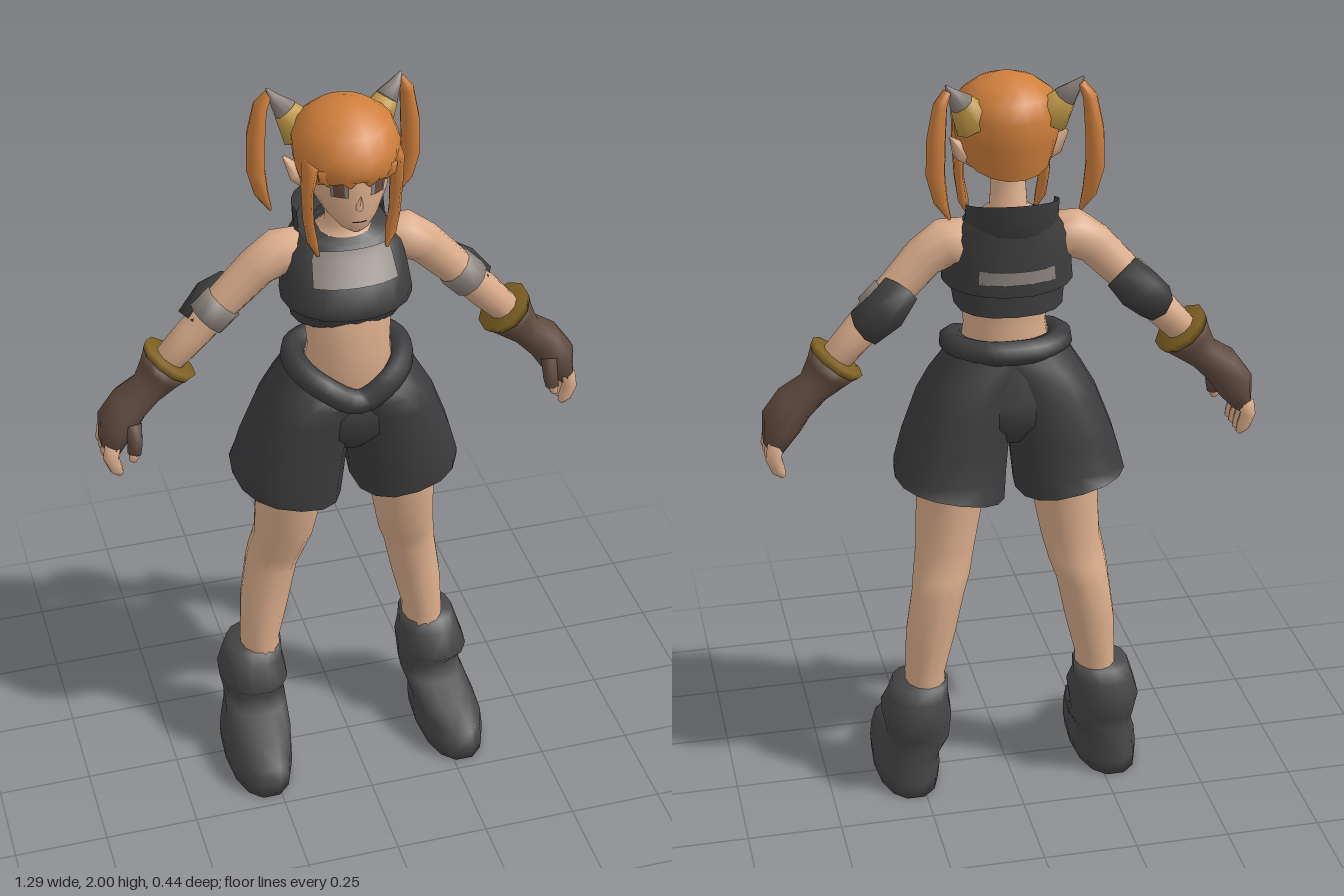
import * as THREE from 'three';

const mat = (name, color) => {
  const m = new THREE.MeshStandardMaterial({ color, side: THREE.DoubleSide });
  m.name = name;
  return m;
};

// Ellipse (p = 1) or boxier ring (p < 1) that fills the extents x0..x1, z0..z1.
// y may be a number or a rule of (x, z); a0..a1 gives an open arc.
function ring([x0, x1, y, z0, z1], p = 1, n = 14, a0 = 0, a1 = 0) {
  const open = a1 > a0, pts = [];
  const pw = v => Math.sign(v) * Math.pow(Math.abs(v), p);
  for (let j = 0; j < n; j++) {
    const a = open ? a0 + (a1 - a0) * j / (n - 1) : j / n * Math.PI * 2;
    const x = (x0 + x1) / 2 + (x1 - x0) / 2 * pw(Math.cos(a));
    const z = (z0 + z1) / 2 + (z1 - z0) / 2 * pw(Math.sin(a));
    pts.push(new THREE.Vector3(x, typeof y === 'function' ? y(x, z) : y, z));
  }
  return pts;
}

// Skin a row of rings, with optional end caps
function loft(rings, { start = false, end = false, open = false } = {}) {
  const n = rings[0].length, pos = [], idx = [];
  rings.forEach(r => r.forEach(v => pos.push(v.x, v.y, v.z)));
  for (let i = 0; i < rings.length - 1; i++)
    for (let j = 0; j < (open ? n - 1 : n); j++) {
      const k = (j + 1) % n, a = i * n + j, b = i * n + k, c = a + n, d = b + n;
      idx.push(a, c, b, b, c, d);
    }
  const cap = (i, flip) => {
    const c = rings[i].reduce((s, v) => s.add(v), new THREE.Vector3()).divideScalar(n);
    const m = pos.length / 3;
    pos.push(c.x, c.y, c.z);
    for (let j = 0; j < n; j++) {
      const a = i * n + j, b = i * n + (j + 1) % n;
      flip ? idx.push(m, b, a) : idx.push(m, a, b);
    }
  };
  if (start) cap(0, false);
  if (end) cap(rings.length - 1, true);
  const g = new THREE.BufferGeometry();
  g.setAttribute('position', new THREE.Float32BufferAttribute(pos, 3));
  g.setIndex(idx);
  g.computeVertexNormals();
  return g;
}

const stack = (rows, caps, p, n) => loft(rows.map(r => ring(r, p, n)), caps);
const patch = (rows, a0, a1, n = 8) => loft(rows.map(r => ring(r, 1, n, a0, a1)), { open: true });

// Sweep along points [x, y, z, radius along z, radius across]
function sweep(path, n = 10, start = true, end = true) {
  const c = path.map(p => new THREE.Vector3(p[0], p[1], p[2]));
  return loft(path.map((p, i) => {
    const t = c[Math.min(i + 1, c.length - 1)].clone().sub(c[Math.max(i - 1, 0)]).normalize();
    const v = new THREE.Vector3(0, 0, 1).cross(t).normalize();
    const u = t.clone().cross(v);
    return Array.from({ length: n }, (_, j) => {
      const a = j / n * Math.PI * 2;
      return c[i].clone().addScaledVector(u, p[3] * Math.cos(a)).addScaledVector(v, p[4] * Math.sin(a));
    });
  }), { start, end });
}

function mirrored(geo) {
  const g = geo.clone().scale(-1, 1, 1), ix = g.index.array;
  for (let i = 0; i < ix.length; i += 3) [ix[i], ix[i + 1]] = [ix[i + 1], ix[i]];
  return g;
}

export function createModel() {
  const model = new THREE.Group();
  const skin = mat('skin', 0xdcae8c), hair = mat('orange hair', 0xcf7f3c);
  const vest = mat('vest charcoal', 0x3e3d3e), shorts = mat('shorts charcoal', 0x3c3c3e);
  const boots = mat('boot grey', 0x484848), glove = mat('glove brown', 0x604b40);
  const gold = mat('cuff gold', 0x7d6022), yellow = mat('ear yellow', 0xc49c48);
  const grey = mat('mesh grey', 0x8c847e), dark = mat('eye brown', 0x6a4a3e);

  const add = (name, geo, m) => {
    const mesh = new THREE.Mesh(geo, m);
    mesh.name = name;
    model.add(mesh);
  };
  const pair = (name, geo, m) => {
    add(name + 'Left', geo, m);
    add(name + 'Right', mirrored(geo), m);
  };
  const both = (w, y, z0, z1) => [-w, w, y, z0, z1];

  // Legs and boots
  pair('leg', stack([
    [.18, .29, .28, -.14, 0], [.18, .29, .36, -.14, 0], [.15, .285, .48, -.15, 0],
    [.125, .268, .6, -.155, .003], [.107, .262, .65, -.145, .015], [.09, .25, .72, -.127, .045],
    [.06, .243, .88, -.14, .085], [.04, .235, 1.06, -.14, .09]
  ], {}, 1, 12), skin);
  pair('boot', stack([
    [.195, .365, 0, -.16, .22], [.19, .367, .04, -.16, .225], [.19, .362, .09, -.157, .215],
    [.18, .35, .125, -.157, .15], [.172, .343, .15, -.157, .05], [.172, .343, .175, -.16, .005],
    [.166, .355, .235, -.185, .058], [.175, .338, .29, -.165, .01], [.175, .325, .33, -.155, 0]
  ], { start: true, end: true }, .85, 14), boots);

  // Shorts with a slanted waist and hem
  const waist = (x, z) => 1.225 + .35 * Math.abs(x) - .35 * z;
  const hem = (x, z) => .862 + .22 * Math.max(x - .02, 0) - .09 * Math.min(z, 0);
  pair('shortsLeg', stack([
    [.018, .302, hem, -.22, .122], [.01, .3, .95, -.2, .125], [.002, .277, 1.03, -.19, .125],
    [-.02, .235, 1.14, -.17, .122], [-.05, .2, (x, z) => 1.2 - .1 * z, -.15, .12],
    [-.13, .15, waist, -.125, .105]
  ], {}, .85, 16), shorts);
  add('shortsSeat', stack([
    both(.05, 1.03, -.12, .07), both(.14, 1.09, -.165, .116), both(.17, 1.15, -.165, .12),
    both(.14, waist, -.125, .103)
  ], { start: true }, .9, 16), shorts);
  const half = [[.085, 1.245, .095], [.135, 1.275, .03], [.13, 1.285, -.06], [.07, 1.285, -.11]];
  const loop = [[0, 1.2, .105], ...half, [0, 1.285, -.12], ...half.slice().reverse().map(([x, y, z]) => [-x, y, z])];
  add('waistband', new THREE.TubeGeometry(
    new THREE.CatmullRomCurve3(loop.map(p => new THREE.Vector3(...p)), true), 36, .033, 7, true), shorts);

  // Body and neck
  add('torso', stack([
    both(.11, 1.12, -.1, .07), both(.122, 1.24, -.1, .094), both(.108, 1.33, -.09, .1), both(.115, 1.42, -.1, .09),
    both(.125, 1.52, -.12, .07), both(.12, 1.59, -.12, .047), both(.085, 1.635, -.11, .02),
    both(.048, 1.66, -.095, .005), both(.043, 1.76, -.085, .015)
  ], {}, 1, 14), skin);

  // Cropped vest with an under-tier, chest panel and standing collar
  add('vestHem', stack([
    both(.14, (x, z) => 1.405 + .08 * z, -.15, .078), both(.145, 1.44, -.15, .1), both(.145, 1.49, -.15, .1)
  ], {}, .85, 16), vest);
  const chest = [
    both(.168, (x, z) => 1.452 + .06 * Math.abs(x), -.168, .122), both(.166, 1.485, -.172, .132), both(.16, 1.54, -.168, .098),
    both(.15, 1.595, -.165, .055), both(.115, (x, z) => 1.625 - .22 * z, -.16, .032)
  ];
  add('vest', stack(chest, {}, .88, 18), vest);
  add('vestTop', stack([chest[4], both(.07, (x, z) => 1.64 - .2 * z, -.12, .02)], {}, .88, 18), vest);
  add('chestPanel', loft([
    both(.163, 1.538, -.17, .104), both(.153, 1.597, -.167, .06), both(.14, 1.617, -.16, .049)
  ].map(r => ring(r, .88, 9, Math.PI * .28, Math.PI * .72)), { open: true }), grey);
  add('backPanel', patch([both(.166, 1.49, -.176, .1), both(.163, 1.525, -.175, .09)], Math.PI * 1.3, Math.PI * 1.7), grey);
  add('collar', patch([
    both(.12, 1.61, -.165, .02), both(.118, 1.65, -.18, .01),
    both(.118, (x, z) => 1.665 - .2 * z, -.183, -.005)
  ], Math.PI * .9, Math.PI * 2.1, 14), vest);

  // Arms with elbow pads
  pair('arm', sweep([
    [.11, 1.575, -.06, .055, .06], [.165, 1.575, -.06, .06, .062], [.22, 1.54, -.06, .05, .054],
    [.33, 1.425, -.07, .043, .047], [.39, 1.36, -.075, .045, .046], [.46, 1.285, -.078, .04, .04]
  ]), skin);
  pair('elbowBand', sweep([[.305, 1.45, -.068, .052, .054], [.35, 1.405, -.07, .052, .054]], 10), grey);
  pair('elbowPad', sweep([
    [.285, 1.468, -.085, .058, .05], [.325, 1.428, -.11, .062, .058], [.375, 1.38, -.09, .06, .053]
  ], 8), vest);

  // Gloves with golden cuffs, fingers and thumbs
  pair('glove', sweep([
    [.45, 1.292, -.078, .076, .075], [.475, 1.26, -.078, .064, .06], [.51, 1.22, -.077, .054, .044],
    [.56, 1.18, -.076, .062, .052], [.595, 1.13, -.075, .07, .053], [.617, 1.07, -.075, .066, .028]
  ]), glove);
  pair('cuff', sweep([[.445, 1.298, -.078, .079, .078], [.458, 1.282, -.078, .075, .072]]), gold);
  for (const z of [-.126, -.092, -.058, -.024])
    pair('finger', sweep([
      [.617, 1.09, z, .018, .022], [.624, 1.055, z, .019, .021], [.612, 1.02, z, .017, .018], [.6, 1.002, z, .008, .008]
    ], 7), skin);
  pair('thumb', sweep([[.56, 1.15, -.02, .022, .022], [.562, 1.1, -.005, .021, .02], [.566, 1.075, 0, .019, .018]], 7), glove);
  pair('thumbTip', sweep([[.566, 1.08, 0, .017, .016], [.572, 1.055, .002, .01, .01]], 7), skin);

  // Head and face
  const face = [
    both(.012, 1.688, .055, .085), both(.038, 1.702, .01, .1), both(.07, 1.735, -.06, .107), both(.094, 1.78, -.1, .108),
    both(.104, 1.83, -.12, .108), both(.105, 1.88, -.12, .105), both(.08, 1.94, -.09, .07)
  ];
  add('head', stack(face, { start: true, end: true }, 1, 16), skin);
  add('nose', new THREE.ConeGeometry(.013, .045, 4).rotateX(.35).translate(0, 1.785, .109), skin);
  pair('eyeWhite', patch([both(.1, 1.798, -.11, .112), both(.107, 1.84, -.12, .112)], .85, 1.3, 5), grey);
  pair('iris', patch([both(.102, 1.8, -.11, .114), both(.109, 1.842, -.12, .114)], .93, 1.2, 5), dark);
  add('mouth', patch([both(.066, 1.727, -.05, .108), both(.069, 1.731, -.05, .109)], 1.3, 1.84, 5), dark);
  pair('sideEar', sweep([[.085, 1.785, -.03, .03, .028], [.12, 1.805, -.04, .028, .024], [.147, 1.845, -.055, .004, .004]], 6), skin);

  // Hair cap, fringe locks and bunches
  add('hairCap', stack([
    both(.116, (x, z) => 1.8 + .36 * z, -.14, .122), both(.13, (x, z) => 1.85 + .1 * z, -.162, .132),
    both(.133, 1.9, -.165, .126), both(.115, 1.945, -.145, .095), both(.075, 1.975, -.105, .05),
    both(.03, 1.99, -.06, .005)
  ], { end: true }, 1, 18), hair);
  for (const x of [-.075, -.025, .025, .075])
    add('fringeLock', sweep([[x, 1.87, .112 - 5 * x * x, .014, .028], [x, 1.845, .115 - 5 * x * x, .008, .024],
      [x * .95, 1.825, .112 - 5 * x * x, .002, .003]], 6), hair);
  pair('sideLock', sweep([
    [.105, 1.88, .045, .05, .02], [.113, 1.8, .035, .042, .013], [.11, 1.71, .033, .032, .012],
    [.1, 1.65, .035, .02, .014], [.088, 1.61, .045, .003, .004]
  ], 7), hair);
  pair('bunch', sweep([
    [.166, 1.985, -.118, .015, .01], [.186, 1.95, -.125, .028, .018], [.197, 1.87, -.13, .038, .024],
    [.2, 1.78, -.13, .04, .024], [.187, 1.71, -.128, .03, .018], [.165, 1.66, -.125, .005, .004]
  ], 8), hair);

  // Cat ears, yellow below and grey towards the tip
  pair('catEarBase', sweep([[.09, 1.89, -.085, .042, .055], [.128, 1.945, -.1, .028, .032]], 8), yellow);
  pair('catEarTip', sweep([[.128, 1.945, -.1, .028, .032], [.155, 1.978, -.112, .014, .014], [.17, 2, -.12, .003, .003]], 8), grey);
  return model;
}
